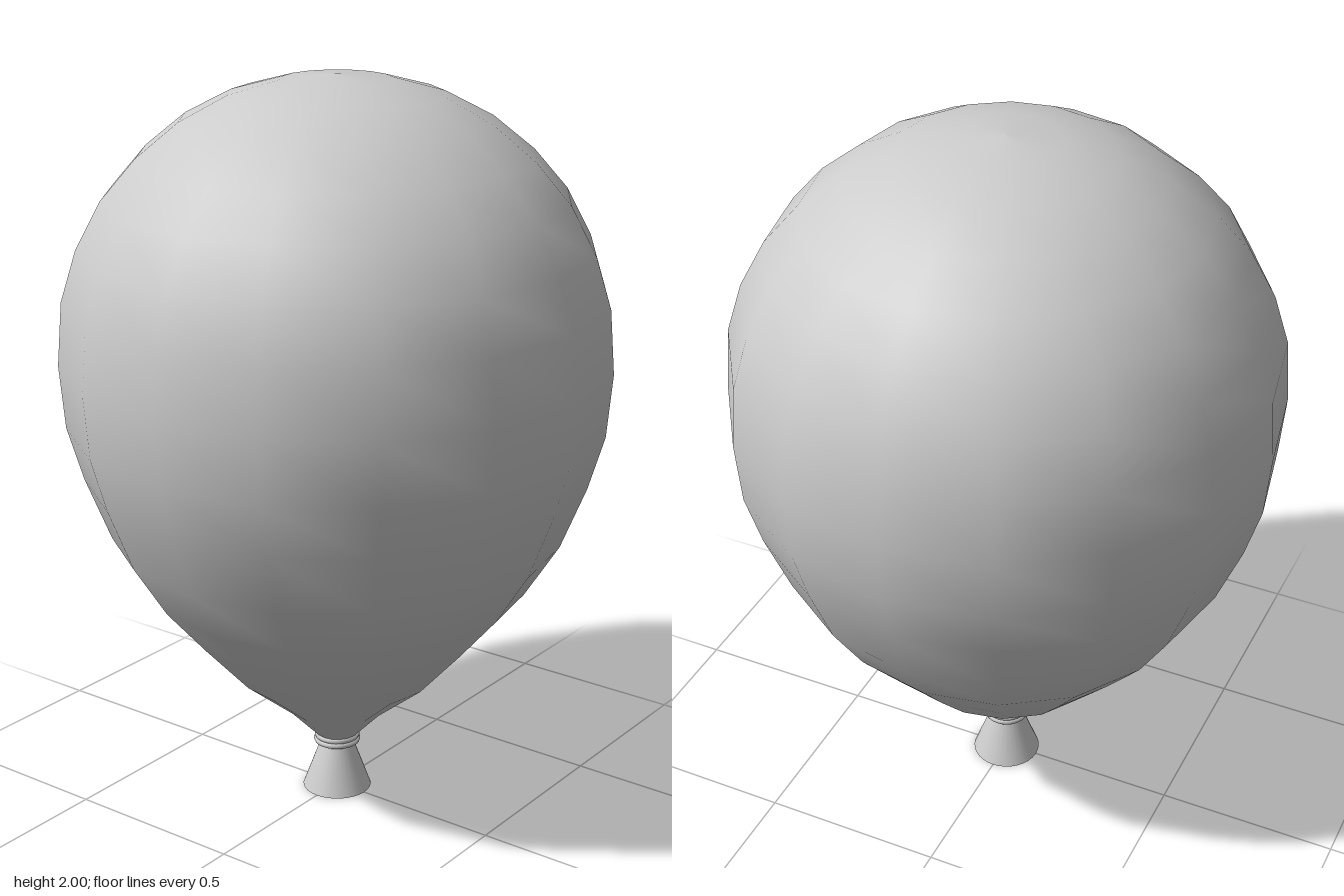
import * as THREE from 'three';

const profile = (pairs) => pairs.map(([r, y]) => new THREE.Vector2(r, y));

export function createModel() {
  const group = new THREE.Group();
  const rubber = new THREE.MeshStandardMaterial({ color: 0xcccccc });
  rubber.name = 'pale grey rubber';

  const add = (name, geometry, y = 0) => {
    const mesh = new THREE.Mesh(geometry, rubber);
    mesh.name = name;
    mesh.position.y = y;
    group.add(mesh);
    return mesh;
  };

  // Inflated body: sixteen smooth-shaded sides, tapering to the neck
  add('balloonBody', new THREE.LatheGeometry(profile([
    [0, 0.11], [0.06, 0.165], [0.142, 0.25], [0.28, 0.362], [0.405, 0.5],
    [0.516, 0.63], [0.607, 0.775], [0.674, 0.945], [0.716, 1.09],
    [0.73, 1.26], [0.716, 1.43], [0.674, 1.565], [0.607, 1.69],
    [0.516, 1.795], [0.405, 1.885], [0.28, 1.95], [0.142, 1.988], [0, 2],
  ]), 16));

  // Two thin rings tied around the neck
  for (const [name, y, r] of [['upperNeckRing', 0.157, 0.054], ['lowerNeckRing', 0.143, 0.056]]) {
    add(name, new THREE.TorusGeometry(r, 0.009, 8, 32).rotateX(Math.PI / 2), y);
  }

  // Flared, closed mouthpiece
  add('mouthpiece', new THREE.CylinderGeometry(0.042, 0.095, 0.145, 32), 0.0725);

  return group;
}
